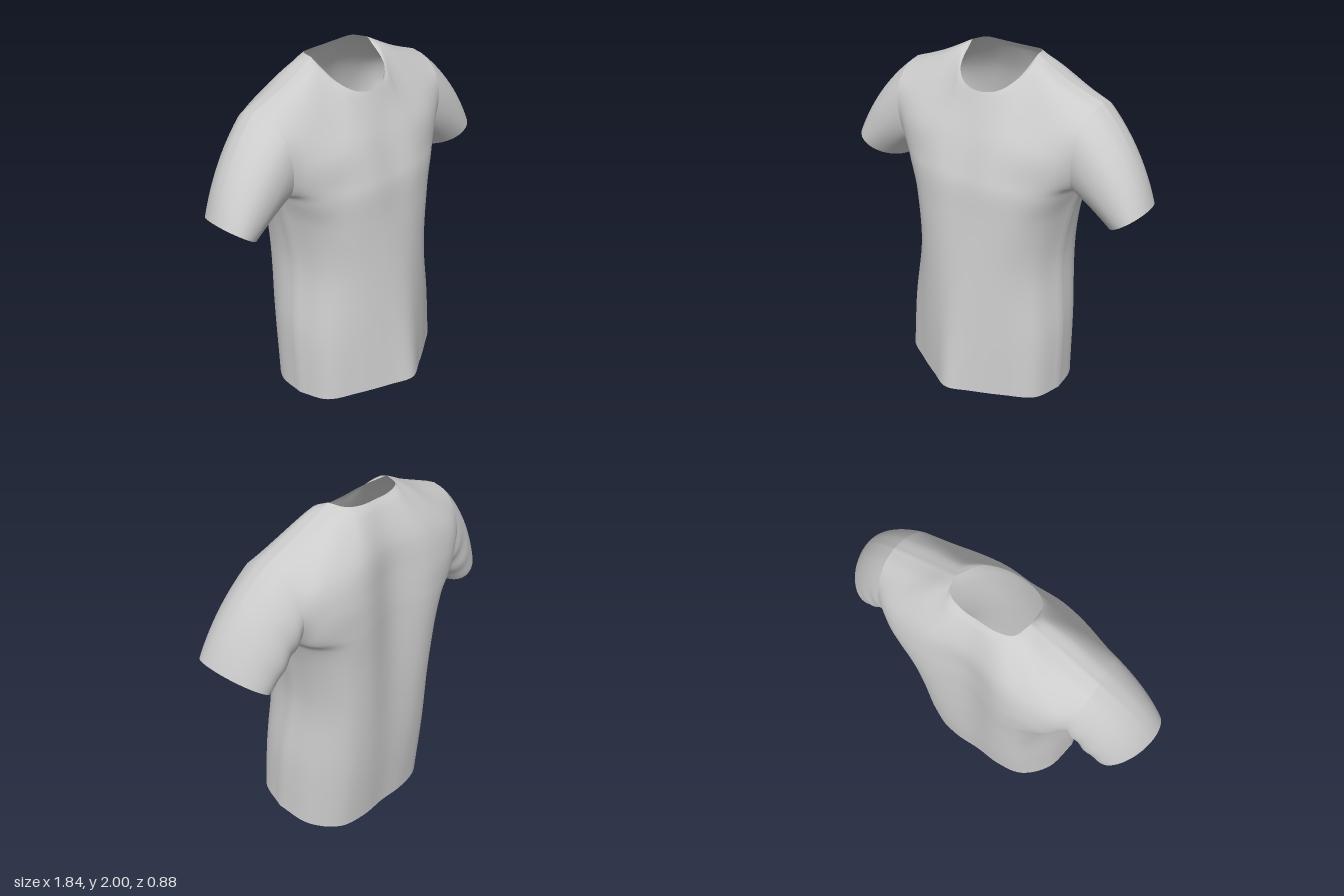
import * as THREE from 'three';
import { mergeGeometries, mergeVertices } from 'three/addons/utils/BufferGeometryUtils.js';

const V = (x, y, z) => new THREE.Vector3(x, y, z);
const spline = (pts) => new THREE.CatmullRomCurve3(pts);
const material = new THREE.MeshStandardMaterial({ color: 0xcccccc, side: THREE.DoubleSide, roughness: 0.9 });

const HALF = 24;      // columns from centre to side
const STEP = 8;       // samples between two rows
const ARMPIT = 4;     // row where front and back part around the arm

// Half a cross-section from centre to side; the height may drift outward
const row = (y, xs, zs, ySide = y) =>
  xs.map((x, i) => V(x, THREE.MathUtils.lerp(y, ySide, (x / xs[4]) ** 2), zs[i]));
// The hem is a plane sloping down to the back
const hem = (xs, zs) => row(0, xs, zs).map((p) => p.setY(0.052 + 0.136 * p.z));

// Rows from hem up to the yoke beside the shoulder seam
const frontRows = [
  hem([0, 0.13, 0.3, 0.45, 0.5], [0.44, 0.38, 0.285, 0.18, 0]),
  row(0.45, [0, 0.14, 0.3, 0.435, 0.487], [0.395, 0.352, 0.268, 0.155, -0.03]),
  row(0.9, [0, 0.15, 0.29, 0.39, 0.435], [0.34, 0.315, 0.245, 0.12, -0.07]),
  row(1.2, [0, 0.16, 0.31, 0.42, 0.475], [0.3, 0.29, 0.235, 0.11, -0.09]),
  row(1.37, [0, 0.17, 0.33, 0.46, 0.52], [0.275, 0.275, 0.225, 0.12, -0.1], 1.35),
  row(1.45, [0, 0.17, 0.33, 0.46, 0.54], [0.25, 0.255, 0.212, 0.143, 0.05], 1.42),
  row(1.59, [0, 0.17, 0.33, 0.46, 0.555], [0.2, 0.205, 0.18, 0.14, 0.095], 1.58),
  row(1.71, [0, 0.15, 0.29, 0.43, 0.57], [0.15, 0.143, 0.115, 0.09, 0.06], 1.73),
  [V(0, 1.8, 0.113), V(0.155, 1.845, 0.07), V(0.23, 1.957, -0.05), V(0.39, 1.888, -0.04), V(0.587, 1.812, -0.045)],
];
const backRows = [
  hem([0, 0.17, 0.33, 0.46, 0.5], [-0.37, -0.375, -0.34, -0.2, 0]),
  row(0.45, [0, 0.19, 0.33, 0.445, 0.487], [-0.405, -0.412, -0.37, -0.22, -0.03]),
  row(0.9, [0, 0.21, 0.33, 0.41, 0.435], [-0.41, -0.43, -0.385, -0.24, -0.07]),
  row(1.2, [0, 0.22, 0.35, 0.44, 0.475], [-0.4, -0.435, -0.395, -0.26, -0.09]),
  row(1.37, [0, 0.23, 0.37, 0.475, 0.52], [-0.39, -0.437, -0.405, -0.285, -0.1], 1.35),
  row(1.45, [0, 0.23, 0.39, 0.49, 0.54], [-0.385, -0.435, -0.41, -0.35, -0.26], 1.42),
  row(1.6, [0, 0.23, 0.39, 0.49, 0.56], [-0.37, -0.422, -0.41, -0.375, -0.33], 1.58),
  row(1.79, [0, 0.21, 0.37, 0.49, 0.575], [-0.345, -0.38, -0.365, -0.34, -0.3], 1.71),
  [V(0, 1.945, -0.275), V(0.155, 1.952, -0.275), V(0.23, 1.967, -0.22), V(0.39, 1.885, -0.22), V(0.587, 1.81, -0.21)],
];

// Necklines and the shoulder seam close the panels at the top
const neckSide = V(0.205, 2, -0.13);
const neckFront = [V(0, 1.83, 0.1), V(0.1, 1.846, 0.08), V(0.175, 1.902, 0.015), neckSide];
const neckBack = [V(0, 1.985, -0.245), V(0.1, 1.987, -0.242), V(0.175, 1.996, -0.215), neckSide];
const shoulder = [neckSide, V(0.39, 1.908, -0.125), V(0.59, 1.832, -0.13)];

const mirror = (p) => V(-p.x, p.y, p.z);
const bothSides = (half) => [...half.slice(1).reverse().map(mirror), ...half];

// Top row keeps a corner where neckline meets shoulder
function sampleTop(neck) {
  const neckline = spline(bothSides(neck)).getPoints(HALF);
  const side = spline(shoulder).getPoints(HALF / 2).slice(1);
  return [...side.slice().reverse().map(mirror), ...neckline, ...side];
}

// Columns of points from hem to top edge, from the right side to the left
function panelColumns(rows, neck) {
  const sampled = [...rows.map((r) => spline(bothSides(r)).getPoints(HALF * 2)), sampleTop(neck)];
  return sampled[0].map((_, c) => {
    const pts = sampled.map((r) => r[c]);
    if (c > 0 && c < HALF * 2) return spline(pts).getPoints((pts.length - 1) * STEP);
    // the side edge breaks at the armpit so both panels share the side seam
    const low = spline(pts.slice(0, ARMPIT + 1)).getPoints(ARMPIT * STEP);
    const high = spline(pts.slice(ARMPIT)).getPoints((pts.length - 1 - ARMPIT) * STEP);
    return [...low, ...high.slice(1)];
  });
}

// Skin a grid of points given as columns
function gridGeometry(cols, flip) {
  const n = cols[0].length, index = [];
  for (let i = 0; i < cols.length - 1; i++) {
    for (let j = 0; j < n - 1; j++) {
      const a = i * n + j, b = a + n, c = b + 1, d = a + 1;
      if (flip) index.push(a, c, b, a, d, c);
      else index.push(a, b, c, a, c, d);
    }
  }
  const g = new THREE.BufferGeometry().setFromPoints(cols.flat());
  g.setIndex(index);
  return g;
}

function smoothMesh(geometry, name) {
  const g = mergeVertices(geometry, 1e-4);
  g.computeVertexNormals();
  const mesh = new THREE.Mesh(g, material);
  mesh.name = name;
  return mesh;
}

// Sleeve: loft from the armhole to the tilted cuff ellipse
function sleeveGeometry(armhole, side) {
  const rings = 24;
  const lengths = [0];
  armhole.slice(1).forEach((p, i) => lengths.push(lengths[i] + p.distanceTo(armhole[i])));
  const total = lengths[lengths.length - 1];
  const cols = armhole.map((p, i) => {
    const angle = (lengths[i] / total) * Math.PI * 2;   // 0 under the arm, PI on top
    const up = -Math.cos(angle), front = Math.sin(angle);
    const cuff = V(
      side * (0.812 + 0.11 * up + 0.01 * front),
      1.285 + 0.085 * up + 0.01 * front,
      -0.102 + 0.182 * front + 0.04 * up,
    );
    const col = [];
    for (let k = 0; k <= rings; k++) {
      const s = k / rings, bulge = 4 * s * (1 - s);
      const q = p.clone().lerp(cuff, s);
      const crown = 0.038 * bulge * Math.max(0, up);
      q.x += side * 0.75 * crown;
      q.y += 0.65 * crown + 0.012 * bulge * Math.max(0, -up);
      q.z += 0.008 * bulge * front;
      // soft folds behind the armpit
      if (front < 0) q.z += 0.01 * front * Math.sin(s * 14) * (1 - s) * Math.max(0, 0.6 - up) * Math.min(1, s * 5);
      col.push(q);
    }
    return col;
  });
  return gridGeometry(cols, side < 0);
}

export function createModel() {
  const shirt = new THREE.Group();
  shirt.name = 'tShirt';

  // Body: front and back panels joined at side seams and shoulders
  const front = panelColumns(frontRows, neckFront);
  const back = panelColumns(backRows, neckBack);
  shirt.add(smoothMesh(mergeGeometries([gridGeometry(front, false), gridGeometry(back, true)]), 'body'));

  // Sleeves grow from the open side edges of the panels
  for (const [side, c, name] of [[1, HALF * 2, 'leftSleeve'], [-1, 0, 'rightSleeve']]) {
    const up = front[c].slice(ARMPIT * STEP);
    const down = back[c].slice(ARMPIT * STEP).reverse().slice(1);
    shirt.add(smoothMesh(sleeveGeometry([...up, ...down], side), name));
  }
  return shirt;
}
